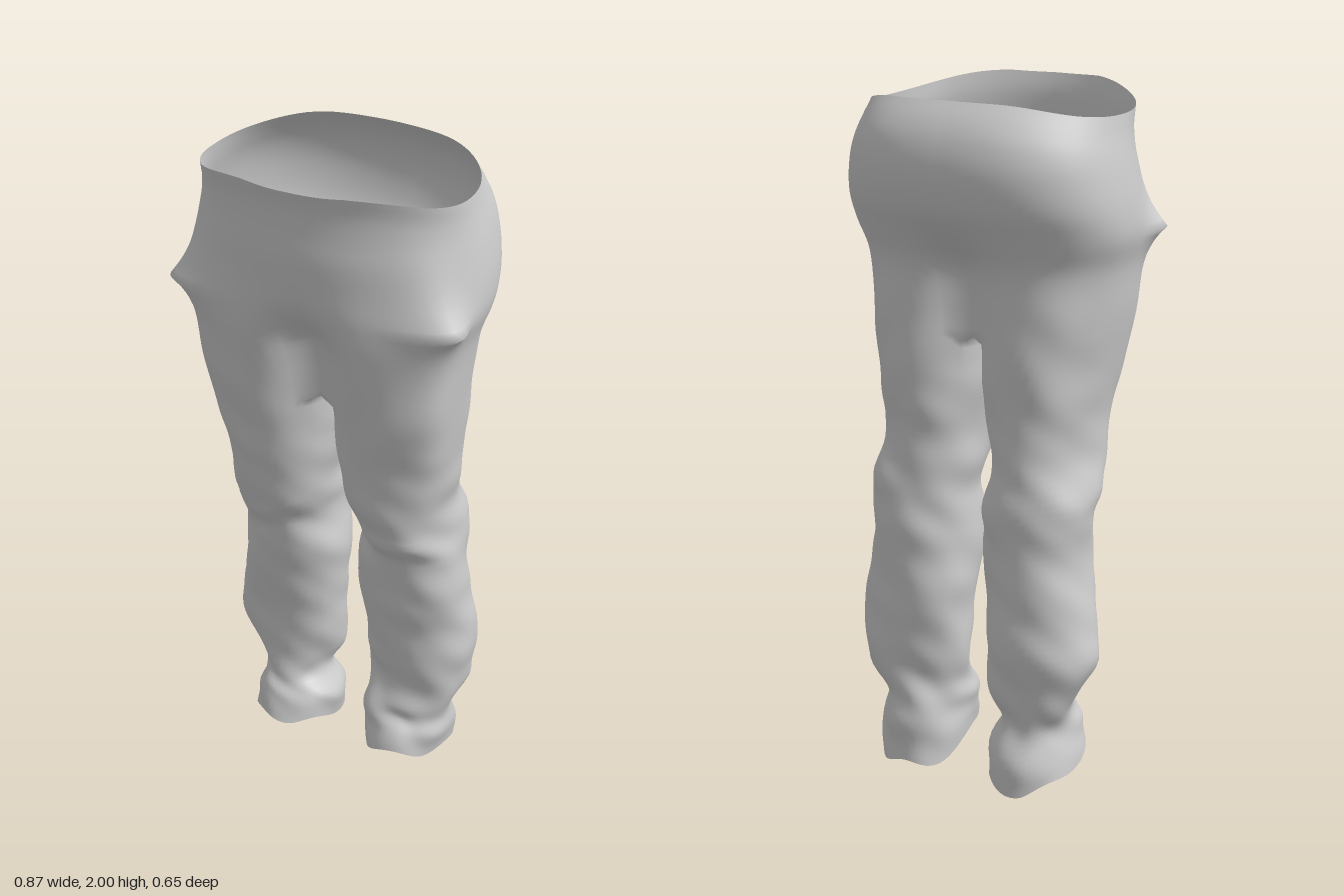
import * as THREE from 'three';
import { mergeVertices } from 'three/addons/utils/BufferGeometryUtils.js';

const OUTER = 40, INNER = 16, COLS = OUTER + INNER; // columns round one leg
const ROWS = 100, CROTCH_ROW = 34;                  // rows from waist to hem
const { smoothstep, lerp, clamp } = THREE.MathUtils;
const bump = (d, width) => Math.exp(-(d * d) / (width * width));
const peak = (d, width) => Math.exp(-Math.abs(d) / width);
const spow = (v, p) => Math.sign(v) * Math.abs(v) ** p;

// Cross-sections: height, inner x, outer x, front z, back z
const HIPS = [
  [2.0, 0, 0.378, 0.32, -0.25], [1.95, 0, 0.385, 0.305, -0.285], [1.88, 0, 0.397, 0.3, -0.32],
  [1.8, 0, 0.41, 0.3, -0.333], [1.7, 0, 0.425, 0.29, -0.313], [1.62, 0, 0.425, 0.285, -0.27],
  [1.53, 0, 0.4, 0.278, -0.23], [1.4, 0, 0.383, 0.25, -0.22],
];
const LEFT = [
  ...HIPS, [1.2, 0, 0.36, 0.2, -0.21], [1.0, 0.03, 0.33, 0.17, -0.2],
  [0.88, 0.05, 0.34, 0.13, -0.22], [0.82, 0.055, 0.35, 0.105, -0.225], [0.7, 0.04, 0.355, 0.09, -0.22],
  [0.5, 0.045, 0.375, 0.05, -0.225], [0.4, 0.055, 0.38, 0.04, -0.225], [0.3, 0.065, 0.36, 0.03, -0.215],
  [0.2, 0.065, 0.315, 0.06, -0.215], [0.1, 0.06, 0.32, 0.08, -0.23], [0, 0.07, 0.31, 0.1, -0.24],
];
const RIGHT = [
  ...HIPS, [1.2, 0, 0.345, 0.2, -0.21], [1.0, 0.03, 0.32, 0.17, -0.2],
  [0.88, 0.04, 0.34, 0.13, -0.22], [0.82, 0.035, 0.33, 0.105, -0.225], [0.7, 0.03, 0.33, 0.09, -0.22],
  [0.5, 0.045, 0.36, 0.05, -0.225], [0.4, 0.045, 0.37, 0.04, -0.225], [0.3, 0.065, 0.325, 0.03, -0.215],
  [0.2, 0.095, 0.28, 0.05, -0.2], [0.1, 0.055, 0.295, 0.08, -0.23], [0, 0.06, 0.3, 0.1, -0.24],
];

// Smooth curve through the rows of a table
function sectionAt(table, y) {
  let k = 0;
  while (k < table.length - 2 && table[k + 1][0] > y) k++;
  const p = table[Math.max(k - 1, 0)], a = table[k], b = table[k + 1], n = table[Math.min(k + 2, table.length - 1)];
  const gap = b[0] - a[0], t = clamp((y - a[0]) / gap, 0, 1);
  return a.map((v, i) => {
    const m0 = ((b[i] - p[i]) / (b[0] - p[0])) * gap, m1 = ((n[i] - v) / (n[0] - a[0])) * gap;
    const d = b[i] - v;
    return v + t * (m0 + t * (3 * d - 2 * m0 - m1 + t * (m0 + m1 - 2 * d)));
  });
}

// One point of the cloth; side is +1 for the left half, -1 for the right
function clothPoint(table, side, row, col) {
  let y = 2 - (2 * row) / ROWS;
  const [, innerEdge, outer, front, back] = sectionAt(table, y);
  const inner = Math.max(innerEdge, 0);
  const width = outer - inner, cx = (inner + outer) / 2;
  const mid = (front + back) / 2, half = (front - back) / 2;

  // Half-oval of the hips, boxier across the pockets, closed by a straight inner wall
  let dx = inner, dz;
  const isOuter = col <= OUTER;
  const t = isOuter ? col / OUTER : (col - OUTER) / INNER;
  if (isOuter) {
    const a = t * Math.PI, p = a < Math.PI / 2 ? 0.97 - 0.13 * bump(y - 1.58, 0.12) : 0.83;
    dx = inner + width * spow(Math.sin(a), p);
    dz = mid + half * spow(Math.cos(a), p);
  } else dz = lerp(back, front, t);

  // Rounded leg section
  const phi = THREE.MathUtils.degToRad(isOuter ? -50 + 280 * t : 230 + 80 * t);
  const ex = cx + (width / 2) * spow(Math.sin(phi), 0.9);
  const ez = mid + half * spow(Math.cos(phi), 0.9);

  const leg = 1 - smoothstep(y, 1.2, 1.68);
  let x = lerp(dx, ex, leg), z = lerp(dz, ez, leg);
  if (row <= CROTCH_ROW && (col === 0 || col >= OUTER)) x = 0;

  // Deep cleft between the legs
  const cleft = bump(x, 0.085) * bump(y - 1.5, y > 1.5 ? 0.1 : 0.22);
  z = mid + (z - mid) * (1 - (z > mid ? 0.34 : 0.22) * cleft);

  // Slanting folds that cross each other, uneven round the leg
  const amp = (1 - smoothstep(y, 1.05, 1.3)) * (0.0035 + 0.003 * bump(y - 0.86, 0.1) + 0.004 * bump(y - 0.22, 0.14));
  const fold = Math.sin(y * 13 + 3 * phi + 2 * side) + Math.sin(y * 27 - 2 * phi + side) * Math.sin(phi + y * 5 + side)
    + 0.6 * Math.sin(y * 43 + 4 * phi * side) * Math.sin(2 * phi - y * 8);
  x += Math.sin(phi) * amp * fold;
  z += Math.cos(phi) * amp * fold;

  if (isOuter) {
    // Diagonal drapes fanning over the thigh, front and back
    const drape = Math.sin((y - 1.3) * 24 + x * (z > 0 ? -22 : 30) + side);
    z += 0.006 * drape * bump(y - 1.27, 0.16) * Math.sin(t * Math.PI);
    // Ridge down the outer front of the thigh, hollow behind it
    const thigh = bump(y - 1.32, 0.22);
    const ridge = 0.02 * thigh * bump(phi - 0.85, 0.35) - 0.012 * thigh * bump(phi - 2.1, 0.45);
    x += Math.sin(phi) * ridge;
    z += Math.cos(phi) * ridge;
    // Sagging fold over the front of the knee: level on the left, slanting on the right
    const knee = y + (side < 0 ? (x - 0.2) * 0.45 : 0);
    z += (side < 0 ? 0.007 : 0.01) * (peak(knee - 0.88, 0.03) - peak(knee - 0.82, 0.03)) * Math.max(Math.cos(phi), 0);
  }

  // Pocket corner pulled outward
  if (isOuter && z > 0) {
    const pull = bump(z - 0.2, 0.07) * peak(y - 1.62, y > 1.62 ? 0.1 : 0.05) * smoothstep(x, 0.18, 0.32);
    x += 0.075 * pull;
    z += 0.012 * pull;
  }

  // Dipping waist and raised front hem
  const rim = 0.007 * Math.sin(x * 17 * side + 1) * Math.sin(t * Math.PI);
  y -= (0.05 - 0.55 * Math.min(z * z, 0.09) + rim) * smoothstep(y, 1.75, 2);
  const hem = 0.005 + 0.28 * Math.max(z + 0.23, 0) + 0.012 * (1 + Math.sin(phi * 4 + side));
  y += hem * (1 - smoothstep(y, 0, 0.3));
  return [side * x, y, z];
}

export function createModel() {
  const positions = [], hips = [], legs = [[], []];
  [[LEFT, 1], [RIGHT, -1]].forEach(([table, side], h) => {
    const base = positions.length / 3;
    for (let j = 0; j <= ROWS; j++)
      for (let i = 0; i < COLS; i++) positions.push(...clothPoint(table, side, j, i));
    for (let j = 0; j < ROWS; j++) {
      const above = j < CROTCH_ROW, target = above ? hips : legs[h];
      for (let i = 0; i < (above ? OUTER : COLS); i++) {
        const n = (i + 1) % COLS;
        const a = base + j * COLS + i, b = base + j * COLS + n, c = a + COLS, d = b + COLS;
        if (side > 0) target.push(a, c, d, a, d, b);
        else target.push(a, d, c, a, b, d);
      }
    }
  });

  // Weld the halves so the shading runs on across the seams
  let cloth = new THREE.BufferGeometry();
  cloth.setAttribute('position', new THREE.Float32BufferAttribute(positions, 3));
  cloth.setIndex([...hips, ...legs[0], ...legs[1]]);
  cloth = mergeVertices(cloth, 1e-5);
  cloth.computeVertexNormals();

  const material = new THREE.MeshStandardMaterial({ color: 0xcccccc, side: THREE.DoubleSide });
  const group = new THREE.Group();
  group.name = 'trousers';
  const all = Array.from(cloth.index.array);
  let start = 0;
  for (const [name, count] of [['hips', hips.length], ['leftLeg', legs[0].length], ['rightLeg', legs[1].length]]) {
    // Keep only the vertices each part uses
    const map = new Map(), pos = [], nor = [], index = [];
    for (const v of all.slice(start, start + count)) {
      if (!map.has(v)) {
        map.set(v, map.size);
        pos.push(...cloth.attributes.position.array.slice(v * 3, v * 3 + 3));
        nor.push(...cloth.attributes.normal.array.slice(v * 3, v * 3 + 3));
      }
      index.push(map.get(v));
    }
    start += count;
    const part = new THREE.BufferGeometry();
    part.setAttribute('position', new THREE.Float32BufferAttribute(pos, 3));
    part.setAttribute('normal', new THREE.Float32BufferAttribute(nor, 3));
    part.setIndex(index);
    const mesh = new THREE.Mesh(part, material);
    mesh.name = name;
    group.add(mesh);
  }
  return group;
}
